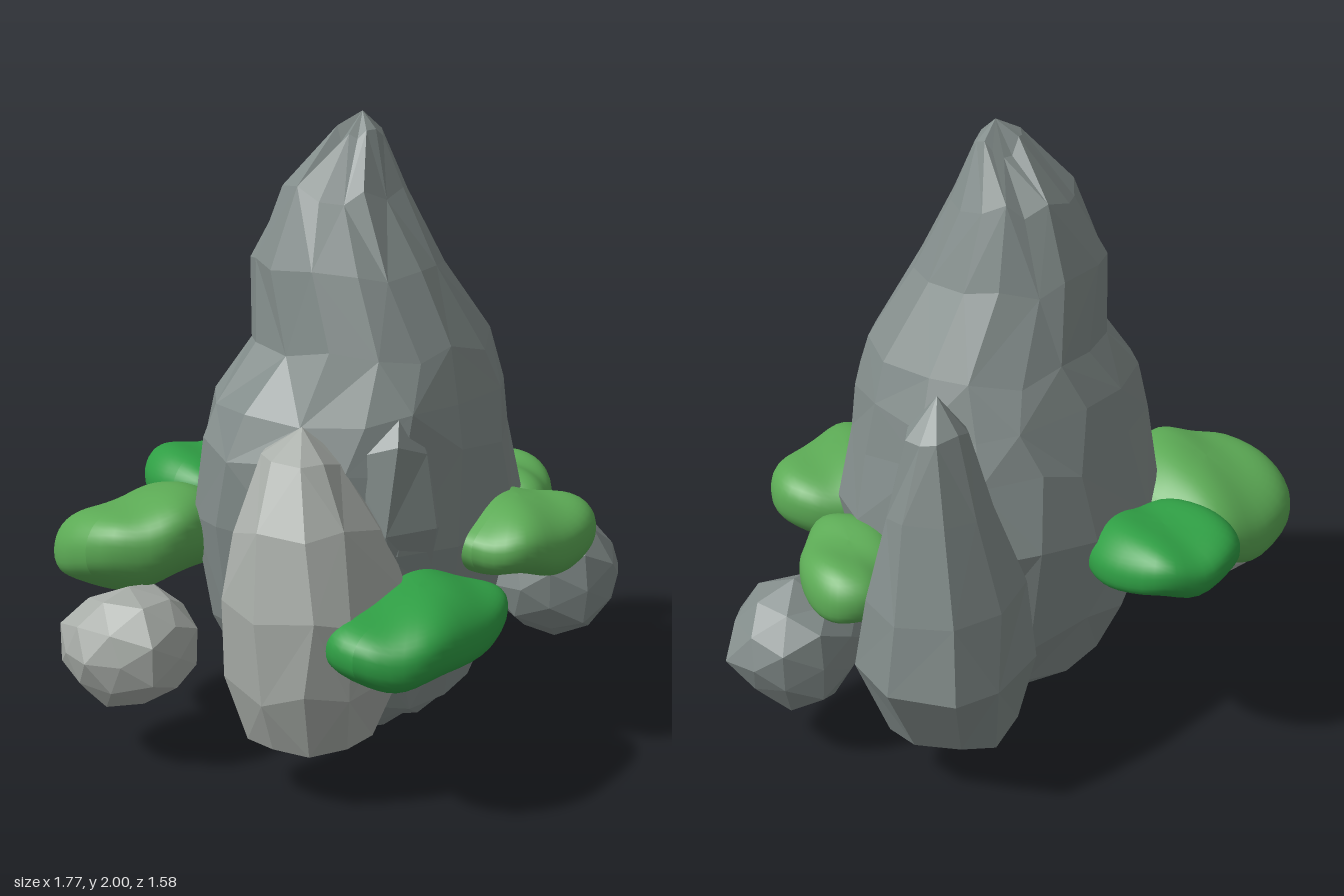
import * as THREE from 'three';

const rockMat = (color) => new THREE.MeshStandardMaterial({ color, flatShading: true, roughness: 0.9 });
const DARK = 0x828c8a, LIGHT = 0xa8ada8;
const LEAF_DARK = 0x2f9e44, LEAF_LIGHT = 0x5caa55;

// Repeatable value in -1..1
const hash = (a, b) => {
  const s = Math.sin(a * 127.1 + b * 311.7) * 43758.5453;
  return (s - Math.floor(s)) * 2 - 1;
};

// Pushes a circle or sphere coordinate slightly towards a box
const square = (t, power) => Math.sign(t) * Math.pow(Math.abs(t), power);

// Faceted rock lofted through rings of [y, xMin, xMax, zMin, zMax]; first and last rings are points
function loftRock(name, rings, sides, power, color, seed) {
  const pos = [], index = [], last = rings.length - 1, rough = 0.03;
  rings.forEach(([y, x0, x1, z0, z1], r) => {
    const inner = r > 0 && r < last ? 1 : 0;
    for (let i = 0; i < sides; i++) {
      const a = ((i + 0.2 * hash(i, r + seed)) / sides) * Math.PI * 2;
      const k = 1.02 + rough * hash(i + seed, r * 3 + 1);
      pos.push(
        (x0 + x1) / 2 + ((x1 - x0) / 2) * square(Math.cos(a), power) * k,
        y + inner * rough * hash(i * 2 + seed, r + 9),
        (z0 + z1) / 2 + ((z1 - z0) / 2) * square(Math.sin(a), power) * k
      );
    }
  });
  for (let r = 0; r < last; r++) {
    for (let i = 0; i < sides; i++) {
      const a = r * sides + i, b = r * sides + ((i + 1) % sides);
      const c = a + sides, d = b + sides;
      if (r === 0) index.push(a, c, d);
      else if (r === last - 1) index.push(a, c, b);
      else if ((i + r) % 2) index.push(a, c, d, a, d, b);
      else index.push(a, c, b, b, c, d);
    }
  }
  const geo = new THREE.BufferGeometry();
  geo.setAttribute('position', new THREE.Float32BufferAttribute(pos, 3));
  geo.setIndex(index);
  geo.computeVertexNormals();
  const mesh = new THREE.Mesh(geo, rockMat(color));
  mesh.name = name;
  return mesh;
}

// Small rounded boulder with uneven facets
function boulder(name, center, radii, yaw, color, seed) {
  const geo = new THREE.IcosahedronGeometry(1, 1);
  const p = geo.attributes.position, v = new THREE.Vector3();
  for (let i = 0; i < p.count; i++) {
    v.fromBufferAttribute(p, i);
    const k = 1 + 0.05 * Math.sin(v.x * 5 + seed) + 0.05 * Math.sin(v.y * 6 + v.z * 4 + seed * 2);
    p.setXYZ(i, v.x * radii[0] * k, v.y * radii[1] * k, v.z * radii[2] * k);
  }
  geo.computeVertexNormals();
  const mesh = new THREE.Mesh(geo, rockMat(color));
  mesh.name = name;
  mesh.position.set(...center);
  mesh.rotation.y = yaw;
  return mesh;
}

// Smooth, lumpy, flattened moss pad; tilt shears its height along x and z, swell thickens its +x end
function mossPad(name, center, radii, tilt, swell, yaw, color, seed) {
  const geo = new THREE.SphereGeometry(1, 40, 28);
  const p = geo.attributes.position, v = new THREE.Vector3();
  for (let i = 0; i < p.count; i++) {
    v.fromBufferAttribute(p, i);
    const k = 1 + 0.025 * Math.sin(v.x * 4 + v.z * 3 + seed);
    const x = square(v.x, 0.87) * radii[0] * k, z = square(v.z, 0.87) * radii[2] * k;
    const y = square(v.y, 0.85) * radii[1] * (1 + swell * v.x);
    p.setXYZ(i, x, y + tilt[0] * x + tilt[1] * z + 0.012 * Math.sin(v.x * 5 + v.z * 3 + seed), z);
  }
  geo.computeVertexNormals();
  const mesh = new THREE.Mesh(geo, new THREE.MeshStandardMaterial({ color }));
  mesh.name = name;
  mesh.position.set(...center);
  mesh.rotation.y = yaw;
  return mesh;
}

export function createModel() {
  const model = new THREE.Group();
  model.name = 'mossyRocks';

  // Tall central peak with a shoulder
  model.add(loftRock('mainPeak', [
    [0, 0, 0, 0.07, 0.07],
    [0.05, -0.17, 0.18, -0.11, 0.24],
    [0.18, -0.37, 0.37, -0.28, 0.4],
    [0.42, -0.49, 0.46, -0.38, 0.47],
    [0.75, -0.57, 0.53, -0.42, 0.52],
    [1.0, -0.54, 0.47, -0.37, 0.51],
    [1.14, -0.49, 0.43, -0.33, 0.49],
    [1.3, -0.37, 0.38, -0.26, 0.45],
    [1.55, -0.33, 0.24, -0.24, 0.33],
    [1.77, -0.24, 0.16, -0.15, 0.2],
    [1.93, -0.09, 0.06, 0, 0.13],
    [2, -0.01, -0.01, 0.07, 0.07],
  ], 15, 0.9, DARK, 3));

  // Shard standing against the front of the peak
  model.add(loftRock('frontShard', [
    [0.4, -0.25, -0.25, 0.3, 0.3],
    [0.6, -0.4, -0.08, 0.15, 0.47],
    [0.8, -0.44, -0.05, 0.12, 0.51],
    [1.05, -0.42, -0.08, 0.15, 0.48],
    [1.27, -0.23, -0.23, 0.37, 0.37],
  ], 8, 0.85, DARK, 21));

  // Pale shorter spire at the front, on the -x side
  model.add(loftRock('paleSpire', [
    [0.09, -0.51, -0.51, 0.26, 0.26],
    [0.18, -0.72, -0.33, 0.08, 0.43],
    [0.37, -0.78, -0.24, 0, 0.5],
    [0.62, -0.79, -0.21, 0, 0.5],
    [0.85, -0.74, -0.27, 0.04, 0.44],
    [1.04, -0.64, -0.4, 0.11, 0.32],
    [1.13, -0.51, -0.51, 0.21, 0.21],
  ], 10, 0.78, LIGHT, 8));

  // Narrow spire on the +x side
  model.add(loftRock('sideSpire', [
    [0.09, 0.53, 0.53, -0.08, -0.08],
    [0.18, 0.34, 0.7, -0.29, 0.1],
    [0.45, 0.28, 0.84, -0.35, 0.16],
    [0.7, 0.31, 0.8, -0.32, 0.13],
    [0.97, 0.39, 0.72, -0.23, 0.06],
    [1.22, 0.45, 0.65, -0.16, 0.01],
    [1.34, 0.54, 0.54, -0.07, -0.07],
  ], 9, 0.8, DARK, 14));

  // Loose boulders
  model.add(boulder('frontBoulder', [0.655, 0.38, 0.41], [0.24, 0.21, 0.2], -0.5, DARK, 1));
  model.add(boulder('backBoulder', [-0.68, 0.37, -0.34], [0.21, 0.19, 0.22], 0, LIGHT, 4));

  // Moss pads around the base
  const pads = [
    ['frontDarkMoss', [-0.405, 0.55, 0.56], [0.335, 0.115, 0.22], [0.07, 0], -0.14, 0, LEAF_DARK, 1],
    ['frontLightMoss', [0.15, 0.69, 0.56], [0.275, 0.122, 0.215], [-0.05, 0], 0.2, 0, LEAF_LIGHT, 2.5],
    ['sideMoss', [0.58, 0.66, 0.245], [0.25, 0.115, 0.155], [0, 0], 0, 0.7, LEAF_LIGHT, 4],
    ['backDarkMoss', [0.025, 0.705, -0.565], [0.22, 0.105, 0.235], [0, -0.06], 0, 0, LEAF_DARK, 5],
    ['backLightMoss', [-0.45, 0.64, -0.47], [0.275, 0.15, 0.27], [0, 0.22], 0, 0, LEAF_LIGHT, 6.2],
  ];
  pads.forEach((pad) => model.add(mossPad(...pad)));

  return model;
}
